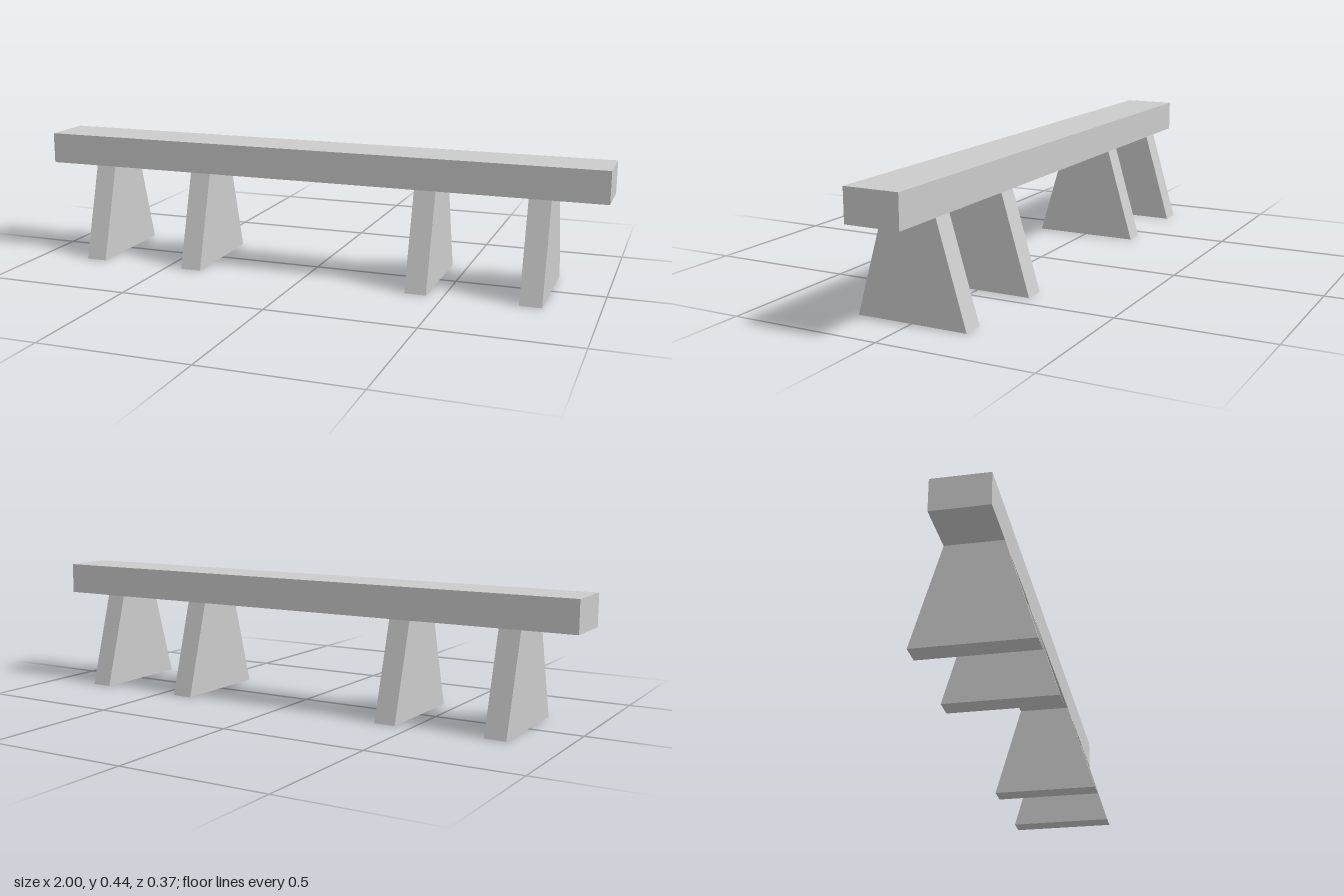
import * as THREE from 'three';

const LEG_HEIGHT = 0.327, TOP = 0.435, HALF_DEPTH = 0.091, FOOT = 0.187, LEG_WIDTH = 0.073;

export function createModel() {
  const group = new THREE.Group();
  const material = new THREE.MeshStandardMaterial({ color: 0xcccccc, flatShading: true });

  // Long plank resting on the legs
  const beam = new THREE.Mesh(new THREE.BoxGeometry(2, TOP - LEG_HEIGHT, HALF_DEPTH * 2), material);
  beam.name = 'beam';
  beam.position.y = (TOP + LEG_HEIGHT) / 2;
  group.add(beam);

  // Slab leg: trapezoid profile across the depth, extruded along x
  const profile = new THREE.Shape([
    new THREE.Vector2(-FOOT, 0),
    new THREE.Vector2(FOOT, 0),
    new THREE.Vector2(HALF_DEPTH, LEG_HEIGHT),
    new THREE.Vector2(-HALF_DEPTH, LEG_HEIGHT),
  ]);
  const legGeometry = new THREE.ExtrudeGeometry(profile, { depth: LEG_WIDTH, bevelEnabled: false });
  legGeometry.translate(0, 0, -LEG_WIDTH / 2).rotateY(Math.PI / 2);

  // Two pairs of legs, mirrored left and right
  for (const side of [-1, 1]) {
    for (const [place, x] of [['outer', 0.784], ['inner', 0.407]]) {
      const leg = new THREE.Mesh(legGeometry, material);
      leg.name = `${place}${side > 0 ? 'Left' : 'Right'}Leg`;
      leg.position.x = side * x;
      group.add(leg);
    }
  }
  return group;
}
